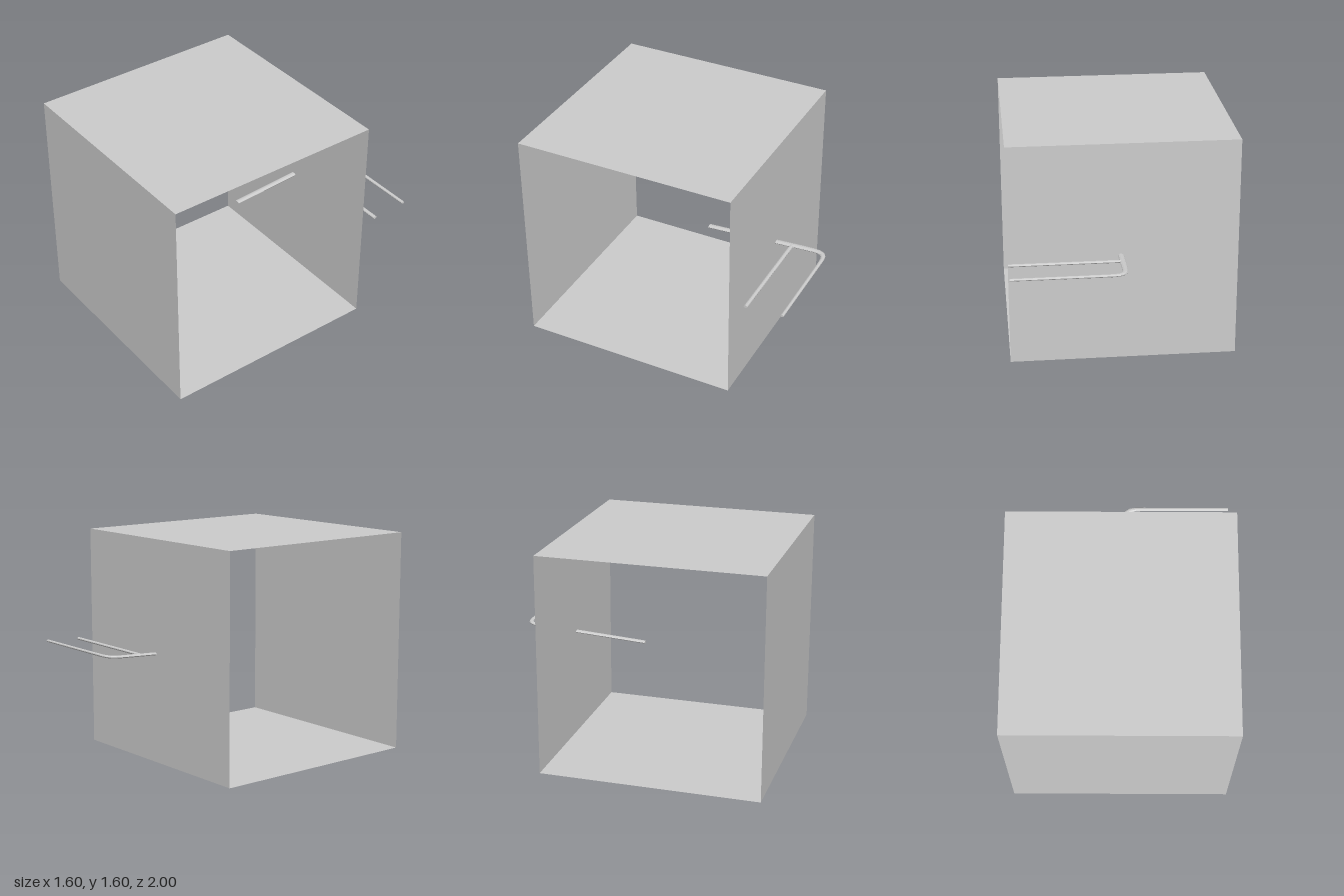
import * as THREE from 'three';

const SIDES = 10;
const material = new THREE.MeshStandardMaterial({ color: 0xcccccc, flatShading: true });
const sheet = new THREE.MeshStandardMaterial({ color: 0xcccccc, side: THREE.DoubleSide });

// the bars lie in a plane that rises towards the back
const heightAt = (z) => 0.757 - 0.059 * (z + 0.07);

// sweeps an elliptical section along stations [x, z, halfWidth, halfHeight]
function sweep(stations) {
  const pos = [], idx = [], last = stations.length - 1;
  stations.forEach(([x, z, w, h], i) => {
    const a = stations[Math.max(i - 1, 0)], b = stations[Math.min(i + 1, last)];
    const t = new THREE.Vector2(b[0] - a[0], b[1] - a[1]).normalize();
    for (let j = 0; j < SIDES; j++) {
      const ang = (j / SIDES) * Math.PI * 2;
      const px = x - t.y * Math.cos(ang) * w;
      const pz = z + t.x * Math.cos(ang) * w;
      pos.push(px, heightAt(pz) + Math.sin(ang) * h, pz);
    }
  });
  for (let i = 0; i < last; i++) {
    for (let j = 0; j < SIDES; j++) {
      const k = (j + 1) % SIDES;
      const a = i * SIDES + j, b = i * SIDES + k;
      idx.push(a, a + SIDES, b, b, a + SIDES, b + SIDES);
    }
  }
  // end caps
  const e = last * SIDES;
  for (let j = 1; j < SIDES - 1; j++) idx.push(0, j, j + 1, e, e + j + 1, e + j);
  const g = new THREE.BufferGeometry();
  g.setAttribute('position', new THREE.Float32BufferAttribute(pos, 3));
  g.setIndex(idx);
  g.computeVertexNormals();
  return g;
}

export function createModel() {
  const model = new THREE.Group();
  model.name = 'sleeveWithBars';

  // four thin walls, open on both x sides
  const sleeve = new THREE.Group();
  sleeve.name = 'sleeve';
  ['frontWall', 'bottomWall', 'backWall', 'topWall'].forEach((name, i) => {
    const g = new THREE.PlaneGeometry(1.6, 1.6).translate(0, 0, 0.8).rotateX((i * Math.PI) / 2);
    const wall = new THREE.Mesh(g, sheet);
    wall.name = name;
    sleeve.add(wall);
  });
  sleeve.position.set(0, 0.8, 0.2);
  model.add(sleeve);

  // flat bar through the back wall, bending into the outer arm
  const bentBar = new THREE.Mesh(sweep([
    [0.021, -0.07, 0.021, 0.010],
    [0.021, -0.8, 0.021, 0.010],
    [0.022, -0.89, 0.020, 0.010],
    [0.028, -0.93, 0.020, 0.010],
    [0.043, -0.96, 0.019, 0.010],
    [0.068, -0.977, 0.017, 0.010],
    [0.105, -0.985, 0.015, 0.010],
    [0.18, -0.987, 0.013, 0.010],
    [0.8, -0.988, 0.012, 0.009],
  ]), material);
  bentBar.name = 'bentBar';
  model.add(bentBar);

  // inner arm branching off the bar
  const innerArm = new THREE.Mesh(sweep([
    [0.025, -0.722, 0.015, 0.010],
    [0.8, -0.722, 0.014, 0.010],
  ]), material);
  innerArm.name = 'innerArm';
  model.add(innerArm);

  return model;
}
